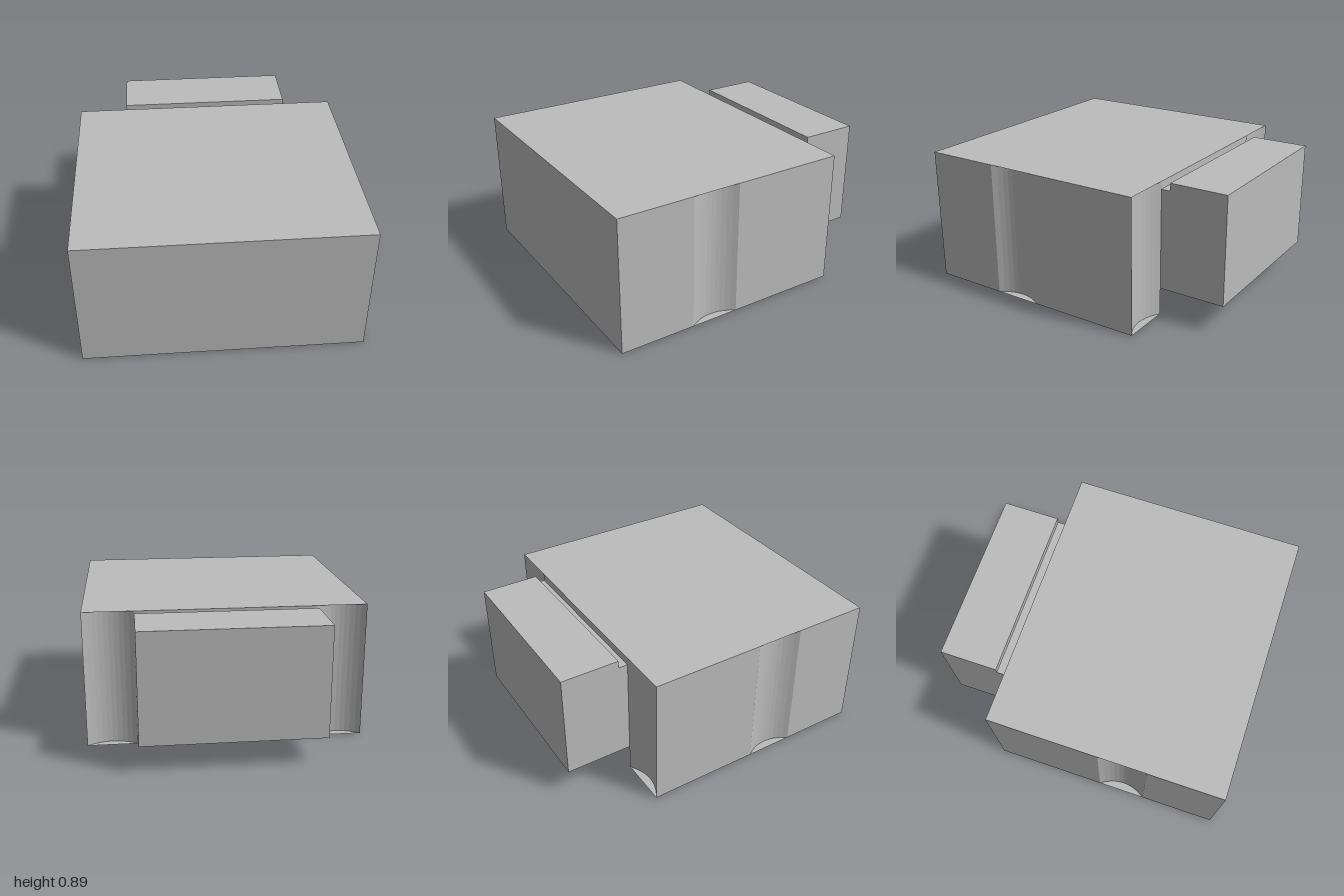
import * as THREE from 'three';

const W = 0.9, H = 0.89, IN = 0.575;   // half width, height, half width of rear block
const BACK = 0.56, FRONT = -1;         // plan coordinates: s = -z
const LOW = 0.18, POCKET = 0.39, DEPTH = 0.055, SEGS = 10;

// Shallow concave arc from a to b, bulging to the left of the direction of travel
function scoop(a, b) {
  const dx = b[0] - a[0], dy = b[1] - a[1], len = Math.hypot(dx, dy);
  const pts = [];
  for (let i = 0; i <= SEGS; i++) {
    const t = i / SEGS, k = DEPTH * 4 * t * (1 - t) / len;
    pts.push(new THREE.Vector2(a[0] + dx * t - dy * k, a[1] + dy * t + dx * k));
  }
  return pts;
}

// The four scooped places in plan, in counter-clockwise order
const SCOOPS = [
  scoop([W, -0.5], [W, -0.18]),
  scoop([W, BACK], [IN, BACK]),
  scoop([-IN, BACK], [-W, BACK]),
  scoop([-W, -0.18], [-W, -0.5]),
];

export function createModel() {
  const group = new THREE.Group();
  const grey = new THREE.MeshStandardMaterial({ color: 0xbcbcbc });
  grey.name = 'light grey';
  grey.side = THREE.DoubleSide;

  const add = (name, geometry) => {
    const mesh = new THREE.Mesh(geometry, grey);
    mesh.name = name;
    group.add(mesh);
    return mesh;
  };
  const extrude = (pts, depth) =>
    new THREE.ExtrudeGeometry(new THREE.Shape(pts), { depth, bevelEnabled: false });
  const v = (x, y) => new THREE.Vector2(x, y);

  // Plan outline of the body, optionally with the pocket cut from the rear
  const plan = (pocket) => [
    v(-W, FRONT), v(W, FRONT), ...SCOOPS[0], ...SCOOPS[1],
    ...(pocket ? [v(IN, POCKET), v(-IN, POCKET)] : []),
    ...SCOOPS[2], ...SCOOPS[3],
  ];
  add('upperBody', extrude(plan(false), H - LOW).rotateX(-Math.PI / 2).translate(0, LOW, 0));
  add('lowerBody', extrude(plan(true), LOW).rotateX(-Math.PI / 2));

  // Flat skins closing each scoop at top and bottom
  for (const arc of SCOOPS) {
    for (const [name, y] of [['topSkin', H], ['bottomSkin', 0]]) {
      add(name, new THREE.ShapeGeometry(new THREE.Shape(arc)).rotateX(-Math.PI / 2).translate(0, y, 0));
    }
  }

  // Wedge in the pocket with stepped flanks, wider at the top
  const steps = 9, right = [], left = [];
  for (let i = 0; i < steps; i++) {
    const x = 0.2 + 0.2 * i / steps, y0 = LOW * i / steps, y1 = LOW * (i + 1) / steps;
    right.push(v(x, y0), v(x, y1));
    left.unshift(v(-x, y1), v(-x, y0));
  }
  right.push(v(0.4, LOW));
  left.unshift(v(-0.4, LOW));
  add('steppedWedge', extrude([...right, ...left], BACK - POCKET).translate(0, 0, -BACK));

  // Rear block with a narrow trench along its top, side profile in (s, y)
  const profile = [
    v(BACK, LOW), v(1, LOW), v(1, H), v(0.62, H), v(0.62, 0.84), v(BACK, 0.84),
  ];
  add('rearBlock', extrude(profile, IN * 2).rotateY(Math.PI / 2).translate(-IN, 0, 0));

  return group;
}
